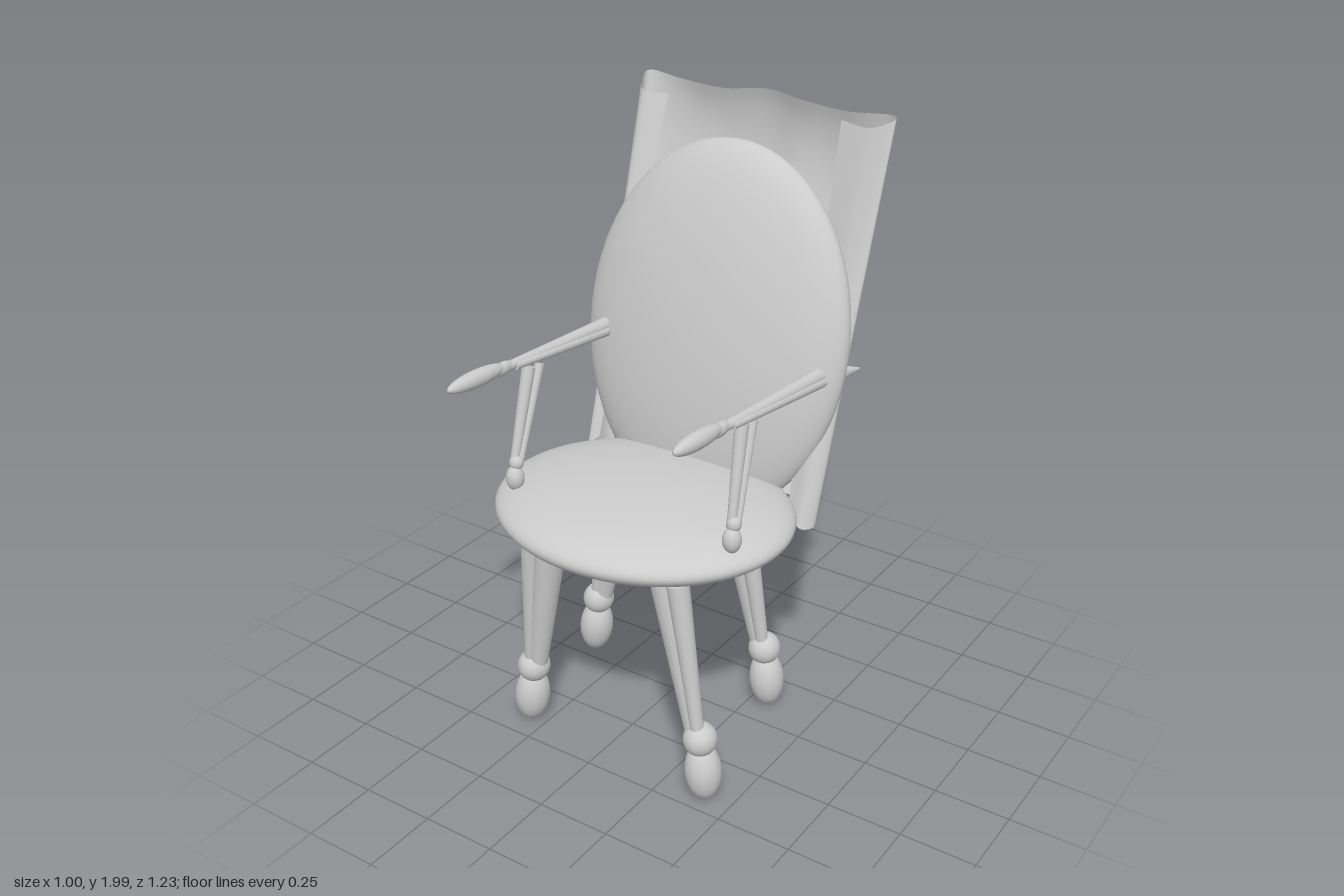
import * as THREE from 'three';

const material = new THREE.MeshStandardMaterial({ color: 0xcccccc });
const clothMaterial = new THREE.MeshStandardMaterial({ color: 0xcccccc, side: THREE.DoubleSide });
const vec = (p) => new THREE.Vector3(...p);

function ellipsoid(name, center, radii, tilt = [0, 0, 0], detail = 24) {
  const mesh = new THREE.Mesh(new THREE.SphereGeometry(1, detail * 2, detail), material);
  mesh.name = name;
  mesh.position.set(...center);
  mesh.scale.set(...radii);
  mesh.rotation.set(...tilt);
  return mesh;
}

// Tapered round rod from point a to point b
function rod(name, a, b, ra, rb) {
  const from = vec(a), to = vec(b), axis = to.clone().sub(from);
  const mesh = new THREE.Mesh(new THREE.CylinderGeometry(rb, ra, axis.length(), 16), material);
  mesh.name = name;
  mesh.position.copy(from).add(to).multiplyScalar(0.5);
  mesh.quaternion.setFromUnitVectors(new THREE.Vector3(0, 1, 0), axis.normalize());
  return mesh;
}

function group(name, ...parts) {
  const g = new THREE.Group();
  g.name = name;
  g.add(...parts);
  return g;
}

// Leg: two tapering bones joined in an ankle lobe over an egg-shaped foot
function leg(name, [tx, tz], [fx, fz]) {
  const side = Math.sign(fx), ax = fx - side * 0.012;
  return group(name,
    rod('legBone', [tx - side * 0.02, 0.76, tz - 0.01], [ax - side * 0.014, 0.21, fz], 0.055, 0.03),
    rod('thinLegBone', [tx + side * 0.04, 0.76, tz + 0.015], [ax + side * 0.004, 0.21, fz + 0.012], 0.036, 0.02),
    ellipsoid('ankle', [ax, 0.222, fz], [0.054, 0.056, 0.056], [0, 0, side * 0.2], 14),
    ellipsoid('foot', [fx, 0.106, fz], [0.058, 0.1, 0.06], [0, 0, side * 0.1], 18));
}

// Arm: paired bones ending in a slim hand, propped on a leaning support
function arm(name, rear, front, tip, propTop, propFoot) {
  const shift = (p, dx, dy, dz = 0) => [p[0] + dx, p[1] + dy, p[2] + dz];
  const mid = tip.map((t, i) => (t + front[i]) / 2);
  const half = vec(tip).distanceTo(vec(front)) / 2;
  const heading = Math.atan2(tip[0] - front[0], tip[2] - front[2]);
  const above = shift(propFoot, 0, 0.04, -0.01);
  return group(name,
    rod('armBone', shift(rear, 0, 0.005), front, 0.026, 0.015),
    rod('thinArmBone', shift(rear, 0.012, -0.012), shift(front, 0.012, -0.006, -0.05), 0.02, 0.012),
    ellipsoid('wrist', front, [0.018, 0.022, 0.05], [0, 0, 0], 12),
    ellipsoid('hand', mid, [0.027, 0.028, half + 0.01], [-0.03, heading, 0], 16),
    rod('supportBone', shift(propTop, 0, 0, 0.018), shift(above, -0.006, 0, 0.006), 0.022, 0.014),
    rod('thinSupportBone', shift(propTop, 0.012, 0, -0.022), shift(above, 0.008, 0, -0.006), 0.016, 0.011),
    ellipsoid('supportFoot', propFoot, [0.03, 0.043, 0.03], [0, 0, 0], 12),
    ellipsoid('supportAnkle', shift(above, 0, 0.01), [0.024, 0.026, 0.024], [0, 0, 0], 10));
}

// Draped cloth: lofted between a bottom and a top edge, with vertical folds
function drape() {
  const bottom = [
    [-0.39, 0.83, -0.12], [-0.43, 0.8, -0.11], [-0.44, 0.76, -0.24], [-0.36, 0.77, -0.29],
    [-0.2, 0.79, -0.255], [-0.03, 0.8, -0.215], [0.12, 0.79, -0.205], [0.28, 0.78, -0.205],
    [0.41, 0.76, -0.19], [0.45, 0.73, -0.14], [0.42, 0.73, -0.1], [0.36, 0.77, -0.12]];
  const top = [
    [-0.35, 1.95, -0.49], [-0.44, 1.96, -0.47], [-0.475, 2.0, -0.555], [-0.35, 1.985, -0.57],
    [-0.2, 1.97, -0.59], [-0.03, 1.99, -0.59], [0.12, 1.98, -0.56], [0.28, 1.97, -0.55],
    [0.45, 1.99, -0.515], [0.495, 1.995, -0.46], [0.42, 1.96, -0.45], [0.3, 1.96, -0.48]];
  const curves = [bottom, top].map((pts) => new THREE.CatmullRomCurve3(pts.map(vec), false, 'centripetal'));
  const U = 120, V = 40, pos = [], idx = [];
  for (let j = 0; j <= V; j++) {
    const v = j / V;
    // slight belly around the backrest, plus a swelling below the upper edge
    const belly = 0.034 * Math.sin(Math.PI * v ** 0.6) + 0.7 * v ** 4 * (1 - v);
    for (let i = 0; i <= U; i++) {
      const u = i / U;
      const p = curves[0].getPoint(u).lerp(curves[1].getPoint(u), v);
      const rear = THREE.MathUtils.smoothstep(u, 0.17, 0.33) * (1 - THREE.MathUtils.smoothstep(u, 0.62, 0.78));
      // rounded folds that wander with height
      const fold = Math.abs(Math.sin(Math.PI * (5 * u + 0.3 + 0.1 * Math.sin(3 * v))));
      p.z -= rear * (belly + 0.026 * (fold - 0.2) * Math.sin(Math.PI * Math.min(1, v + 0.08)));
      pos.push(p.x, p.y, p.z);
      if (i < U && j < V) {
        const a = j * (U + 1) + i, b = a + U + 1;
        idx.push(a, b, a + 1, a + 1, b, b + 1);
      }
    }
  }
  const geo = new THREE.BufferGeometry();
  geo.setAttribute('position', new THREE.Float32BufferAttribute(pos, 3));
  geo.setIndex(idx);
  geo.computeVertexNormals();
  const mesh = new THREE.Mesh(geo, clothMaterial);
  mesh.name = 'backDrape';
  return mesh;
}

export function createModel() {
  return group('armchair',
    ellipsoid('seat', [0, 0.805, 0.17], [0.502, 0.105, 0.43], [0, 0, 0], 36),
    ellipsoid('backrest', [-0.004, 1.275, -0.245], [0.487, 0.619, 0.13], [-0.212, 0, 0], 36),
    drape(),
    leg('frontRightLeg', [-0.21, 0.42], [-0.305, 0.4]),
    leg('frontLeftLeg', [0.265, 0.42], [0.398, 0.43]),
    leg('backRightLeg', [-0.245, -0.06], [-0.375, -0.06]),
    leg('backLeftLeg', [0.19, -0.08], [0.305, -0.115]),
    arm('rightArm', [-0.378, 1.23, -0.2], [-0.39, 1.265, 0.37], [-0.398, 1.285, 0.605],
      [-0.37, 1.24, 0.25], [-0.365, 0.89, 0.365]),
    arm('leftArm', [0.418, 1.23, -0.2], [0.392, 1.26, 0.35], [0.383, 1.28, 0.565],
      [0.395, 1.235, 0.215], [0.415, 0.885, 0.31]),
    // Pointed rear end of the left arm, showing through the cloth
    rod('armEnd', [0.43, 1.218, -0.25], [0.47, 1.21, -0.36], 0.036, 0.003));
}
